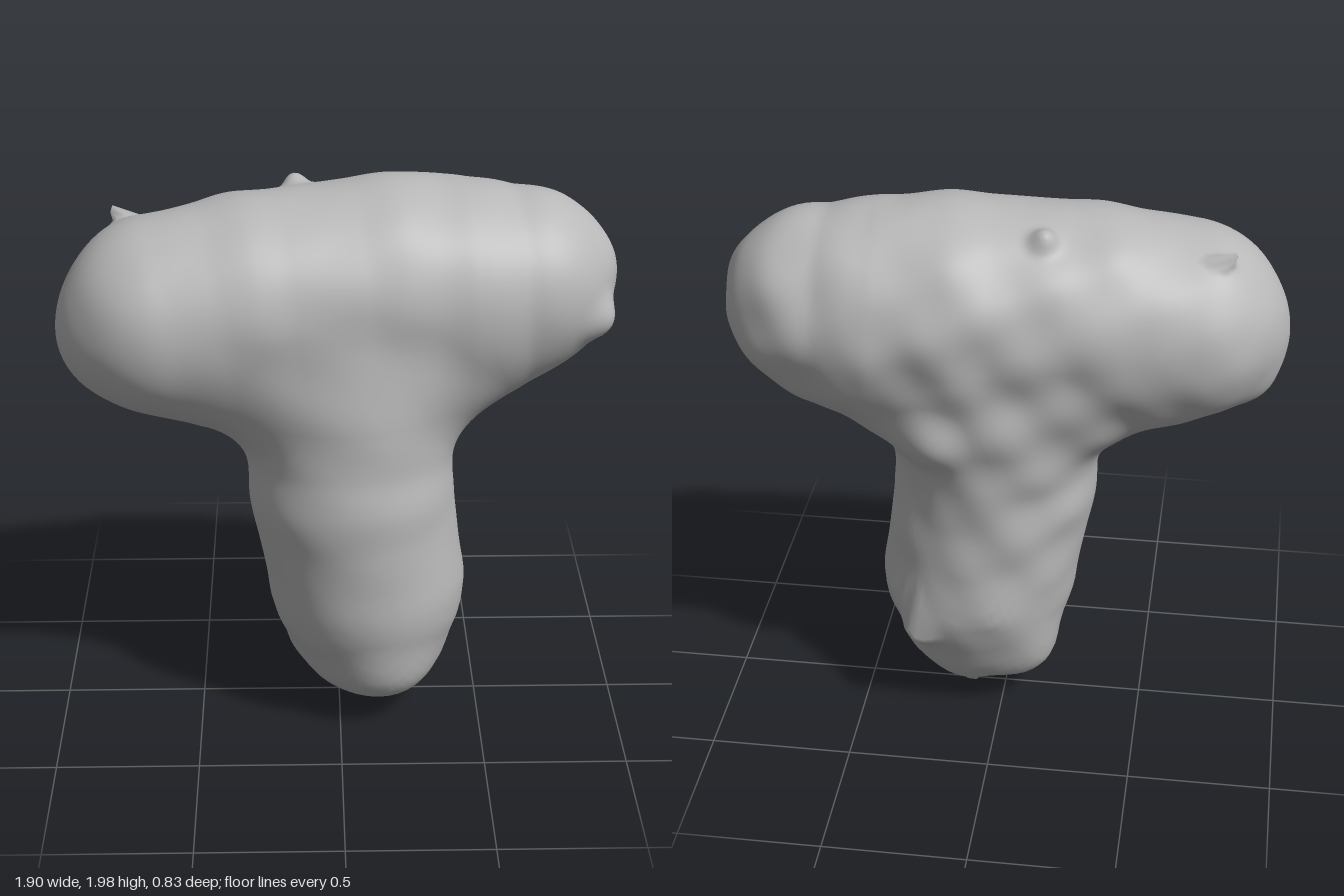
import * as THREE from 'three';
import { mergeVertices } from 'three/addons/utils/BufferGeometryUtils.js';

// Each row: x, y, z, radius along a rounded limb
const BAR = [[-0.6, 1.55, 0.075, 0.34], [-0.3, 1.59, 0.035, 0.355], [0.18, 1.618, -0.035, 0.368], [0.43, 1.605, -0.055, 0.358], [0.62, 1.615, -0.065, 0.32]];
const STEM = [[0.03, 1.2, 0.03, 0.345], [0.04, 0.9, 0.05, 0.355], [0.1, 0.5, 0.035, 0.345], [0.115, 0.345, 0.04, 0.285]];
// Webbing that widens the neck under the bar
const WEB = [[-0.38, 1.395, 0.05, 0.24], [0.06, 1.25, 0.01, 0.3], [0.46, 1.45, -0.05, 0.24]];
// Lumps and nubs: x, y, z, radius, blend width
const LUMPS = [
  [-0.75, 1.865, -0.08, 0.02, 0.05], [-0.15, 1.93, -0.17, 0.03, 0.06],
  [0.27, 0.41, -0.23, 0.065, 0.06], [0.22, 1.23, -0.24, 0.1, 0.09],
  [0.87, 1.53, 0.09, 0.05, 0.08], [0.84, 1.68, -0.03, 0.09, 0.06],
  [-0.83, 1.37, 0.04, 0.07, 0.08], [-0.74, 1.5, 0.1, 0.205, 0.06],
  [-0.04, 0.28, -0.05, 0.155, 0.06], [0.15, 0.29, 0.17, 0.165, 0.06],
  [0.125, 0.04, -0.01, 0.025, 0.08],
];

const smoothMin = (a, b, k) => {
  const h = Math.max(k - Math.abs(a - b), 0) / k;
  return Math.min(a, b) - h * h * k / 4;
};

// Distance to a chain of tapered capsules
function limb(p, pts) {
  let d = Infinity;
  for (let i = 0; i < pts.length - 1; i++) {
    const [ax, ay, az, ar] = pts[i], [bx, by, bz, br] = pts[i + 1];
    const ux = bx - ax, uy = by - ay, uz = bz - az;
    const dot = (p.x - ax) * ux + (p.y - ay) * uy + (p.z - az) * uz;
    const t = THREE.MathUtils.clamp(dot / (ux * ux + uy * uy + uz * uz), 0, 1);
    const dist = Math.hypot(p.x - ax - ux * t, p.y - ay - uy * t, p.z - az - uz * t);
    d = smoothMin(d, dist - ar - (br - ar) * t, 0.02);
  }
  return d;
}

function field(p) {
  let d = smoothMin(limb(p, BAR), limb(p, STEM), 0.2);
  d = smoothMin(d, limb(p, WEB), 0.15);
  for (const [x, y, z, r, k] of LUMPS) d = smoothMin(d, Math.hypot(p.x - x, p.y - y, p.z - z) - r, k);
  // Uneven skin, rougher at the back
  const rough = 0.002 + 0.006 * THREE.MathUtils.smoothstep(-p.z, -0.1, 0.25);
  return d + rough * Math.sin(17 * p.x + 5 * p.y + 2) * Math.sin(21 * p.y - 6 * p.x) * Math.cos(9 * p.z + 4 * p.x);
}

export function createModel() {
  const group = new THREE.Group();
  const grey = new THREE.MeshStandardMaterial({ color: 0xb8b8b8 });
  grey.name = 'stoneGrey';

  // Push a fine sphere outward from the junction until it meets the body surface
  let geometry = new THREE.IcosahedronGeometry(1, 50);
  geometry.deleteAttribute('uv');
  geometry.deleteAttribute('normal');
  geometry = mergeVertices(geometry, 1e-5);
  const pos = geometry.attributes.position;
  const centre = new THREE.Vector3(0.04, 1.42, 0);
  const dir = new THREE.Vector3(), p = new THREE.Vector3();
  for (let i = 0; i < pos.count; i++) {
    dir.fromBufferAttribute(pos, i).normalize();
    let inner = 0, outer = 1.7;
    for (let n = 0; n < 22; n++) {
      const mid = (inner + outer) / 2;
      p.copy(centre).addScaledVector(dir, mid);
      if (field(p) < 0) inner = mid; else outer = mid;
    }
    pos.setXYZ(i, p.x, p.y, p.z);
  }
  geometry.computeVertexNormals();

  const body = new THREE.Mesh(geometry, grey);
  body.name = 'tShapedBody';
  group.add(body);
  return group;
}
